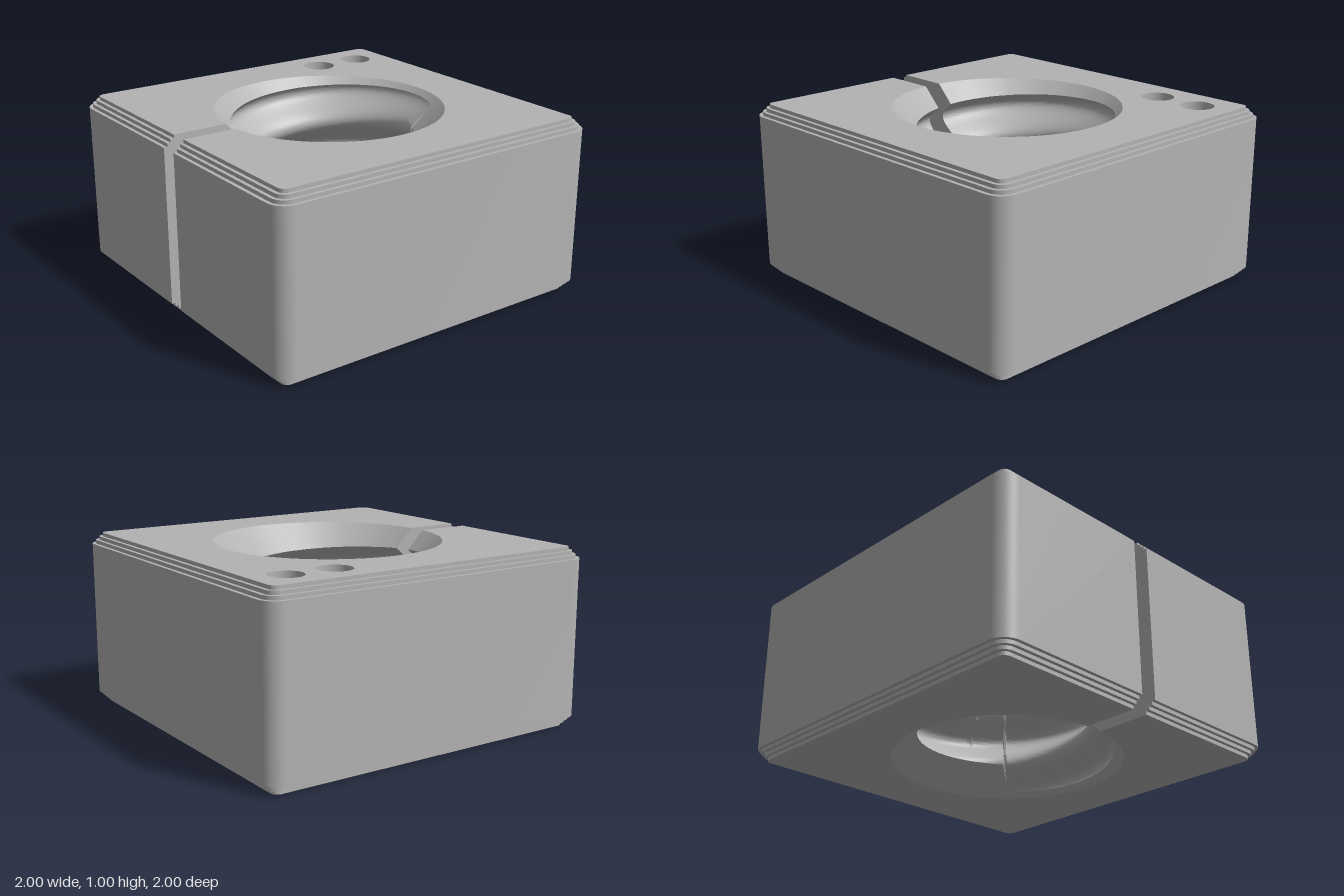
import * as THREE from 'three';
import { toCreasedNormals } from 'three/addons/utils/BufferGeometryUtils.js';

const SLIT = 0.05;            // half width of the slit
const RIM = 0.635;            // bore radius at the top and bottom faces
const PITCH = 1 / 3, BORE = 0.54, ECC = 0.065;
const COLS = 160, ROWS = 100;
const HOLES = [[-0.74, -0.74], [-0.74, -0.46]], HOLE_R = 0.093, HOLE_DEPTH = 0.06;

// surface from a grid of points; flip turns it inside out
function grid(cols, rows, point, flip, crease) {
  const pos = [], index = [];
  for (let j = 0; j <= rows; j++) for (let i = 0; i <= cols; i++) pos.push(...point(i, j));
  for (let j = 0; j < rows; j++) for (let i = 0; i < cols; i++) {
    const a = j * (cols + 1) + i, b = a + 1, d = a + cols + 1, c = d + 1;
    if (flip) index.push(a, c, b, a, d, c);
    else index.push(a, b, c, a, c, d);
  }
  const g = new THREE.BufferGeometry();
  g.setAttribute('position', new THREE.Float32BufferAttribute(pos, 3));
  g.setIndex(index);
  return toCreasedNormals(g, crease);
}

// rounded square outline as [x, z], open at the slit
function outline(inset) {
  const pts = [[SLIT, 1 - inset]], n = 10;
  for (let k = 0; k < 4; k++) {
    const cx = k < 2 ? 0.9 : -0.9, cz = k === 0 || k === 3 ? 0.9 : -0.9;
    for (let i = 0; i <= n; i++) {
      const a = (k + i / n) * Math.PI / 2;
      pts.push([cx + (0.1 - inset) * Math.sin(a), cz + (0.1 - inset) * Math.cos(a)]);
    }
  }
  pts.push([-SLIT, 1 - inset]);
  return pts;
}

// stepped side profile as [inset, y]
const profile = [[0.06, 0], [0.06, 0.02], [0.04, 0.02], [0.04, 0.04], [0.02, 0.04], [0.02, 0.06], [0, 0.06]];
for (const [i, y] of [...profile].reverse()) profile.push([i, 1 - y]);

// coarse thread: an off-centre circle that turns with height
function thread(a, y) {
  const d = a - Math.PI + (y - 0.97) / PITCH * 2 * Math.PI;
  return ECC * Math.cos(d) + Math.sqrt(BORE * BORE - (ECC * Math.sin(d)) ** 2);
}
const radius = (a, y) => Math.max(thread(a, y), RIM - y, RIM - 1 + y);

// angle running from one slit wall round to the other
function angle(t, r) {
  const s = Math.asin(SLIT / r);
  return s + t * (2 * Math.PI - 2 * s);
}
function borePoint(t, y) {
  let r = BORE;
  for (let k = 0; k < 4; k++) r = radius(angle(t, r), y);
  const a = angle(t, r);
  return [r * Math.sin(a), y, r * Math.cos(a)];
}

// heights where the chamfers meet the thread, per column
const limits = [];
for (let i = 0; i <= COLS; i++) {
  const a = angle(i / COLS, BORE);
  let top = 1, bottom = 0;
  while (thread(a, top) < RIM - 1 + top) top -= 0.001;
  while (thread(a, bottom) < RIM - bottom) bottom += 0.001;
  limits.push([bottom, top]);
}
const threadPoint = (i, j) => {
  const [b, t] = limits[i];
  return borePoint(i / COLS, b + (t - b) * j / ROWS);
};

// flat end face with the bore, slit and optional blind holes
function endFace(sign, holes) {
  const pts = outline(0.06).map(([x, z]) => new THREE.Vector2(x, z * sign));
  for (let i = COLS; i >= 0; i--) {
    const [x, , z] = borePoint(i / COLS, 0);
    pts.push(new THREE.Vector2(x, z * sign));
  }
  const shape = new THREE.Shape(pts);
  for (const [x, z] of holes) {
    shape.holes.push(new THREE.Path().absarc(x, z * sign, HOLE_R, 0, Math.PI * 2, true));
  }
  return new THREE.ShapeGeometry(shape, 24).rotateX(sign * Math.PI / 2);
}

// slit wall, bounded by the stepped side and the thread section
function slitWall(side) {
  const pts = profile.map(([i, y]) => new THREE.Vector2(1 - i, y));
  const col = side > 0 ? 0 : COLS;
  pts.push(new THREE.Vector2(borePoint(col / COLS, 1)[2], 1));
  for (let j = ROWS; j >= 0; j--) {
    const p = threadPoint(col, j);
    pts.push(new THREE.Vector2(p[2], p[1]));
  }
  pts.push(new THREE.Vector2(borePoint(col / COLS, 0)[2], 0));
  return new THREE.ShapeGeometry(new THREE.Shape(pts)).rotateY(-Math.PI / 2).translate(side * SLIT, 0, 0);
}

export function createModel() {
  const group = new THREE.Group();
  const grey = new THREE.MeshStandardMaterial({ color: 0xb3b3b3, side: THREE.DoubleSide });
  grey.name = 'grey';
  const add = (name, geometry) => {
    const mesh = new THREE.Mesh(geometry, grey);
    mesh.name = name;
    group.add(mesh);
    return mesh;
  };

  // block
  const loops = profile.map(([inset]) => outline(inset));
  add('steppedSides', grid(loops[0].length - 1, profile.length - 1,
    (i, j) => [loops[j][i][0], profile[j][1], loops[j][i][1]], false, 0.6));
  add('topFace', endFace(-1, HOLES).translate(0, 1, 0));
  add('bottomFace', endFace(1, []));

  // bore
  add('threadedBore', grid(COLS, ROWS, threadPoint, true, 0.6));
  add('topChamfer', grid(COLS, 1, (i, j) => borePoint(i / COLS, j ? 1 : limits[i][1]), true, 0.6));
  add('bottomChamfer', grid(COLS, 1, (i, j) => borePoint(i / COLS, j ? limits[i][0] : 0), true, 0.6));

  // slit
  add('leftSlitWall', slitWall(1));
  add('rightSlitWall', slitWall(-1));

  // blind holes
  for (const [x, z] of HOLES) {
    add('holeWall', new THREE.CylinderGeometry(HOLE_R, HOLE_R, HOLE_DEPTH, 48, 1, true))
      .position.set(x, 1 - HOLE_DEPTH / 2, z);
    add('holeFloor', new THREE.CircleGeometry(HOLE_R, 48).rotateX(-Math.PI / 2))
      .position.set(x, 1 - HOLE_DEPTH, z);
  }
  return group;
}
